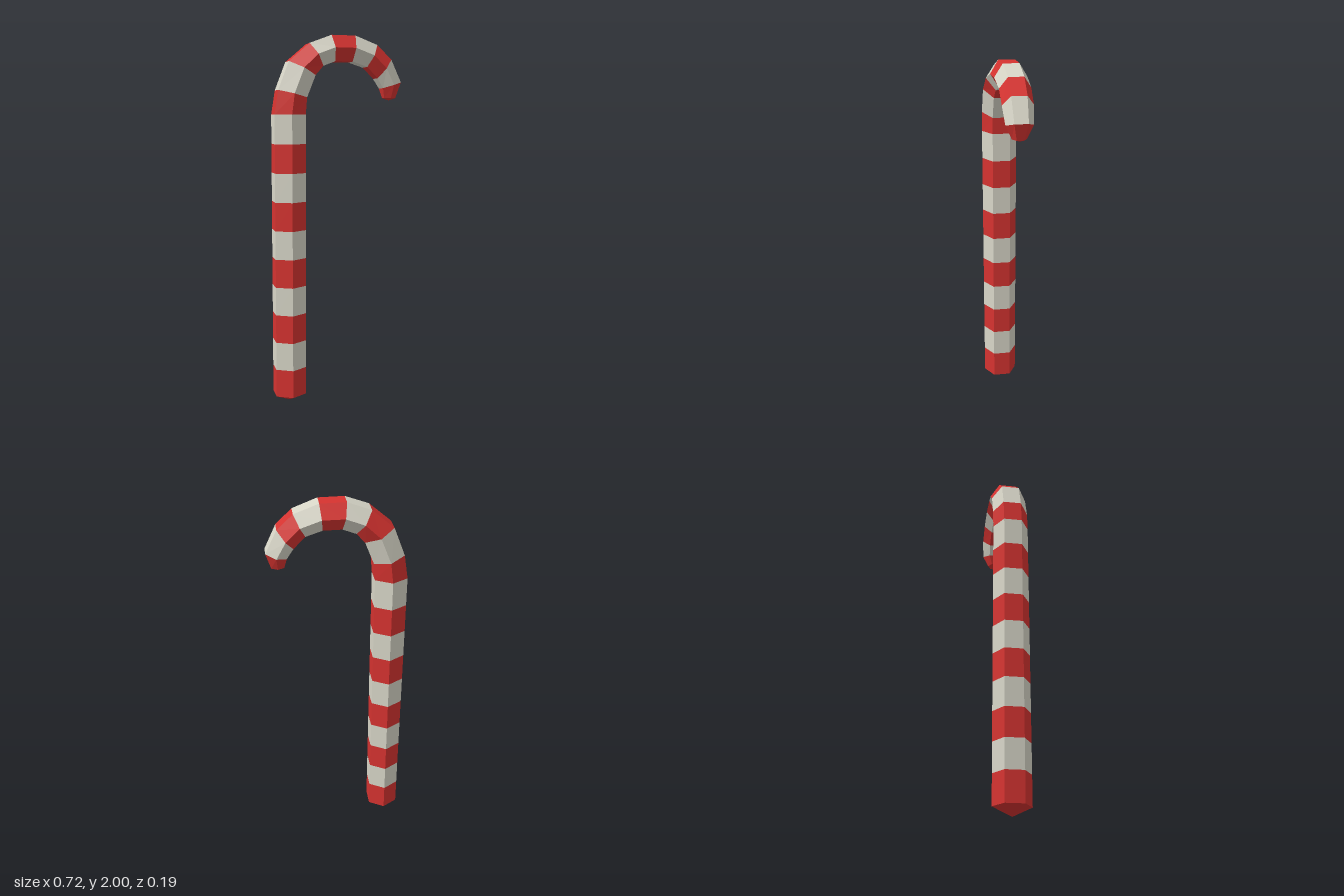
import * as THREE from 'three';

const red = new THREE.MeshStandardMaterial({ color: 0xd63330, flatShading: true });
const cream = new THREE.MeshStandardMaterial({ color: 0xd8d6c8, flatShading: true });

// Hexagonal ring: outer and inner edge of the bend (x, y), centre z and depth radius
function ring(ox, oy, ix, iy, z, r) {
  const points = [];
  for (let k = 0; k < 6; k++) {
    const a = Math.PI / 6 + (k * Math.PI) / 3;
    const t = 0.5 + (0.5 * Math.cos(a)) / Math.cos(Math.PI / 6);
    points.push([ix + (ox - ix) * t, iy + (oy - iy) * t, z + r * Math.sin(a)]);
  }
  return points;
}

const tip = (x, y, z) => ring(x, y, x, y, z, 0);

// Skin between consecutive rings, leaving out collapsed triangles at the tips
function band(name, rings, material) {
  const pos = [];
  const same = (p, q) => p.every((v, i) => Math.abs(v - q[i]) < 1e-6);
  const tri = (p, q, r) => {
    if (!same(p, q) && !same(q, r) && !same(p, r)) pos.push(...p, ...q, ...r);
  };
  for (let j = 0; j < rings.length - 1; j++) {
    const a = rings[j], b = rings[j + 1];
    for (let i = 0; i < 6; i++) {
      const n = (i + 1) % 6;
      tri(a[i], a[n], b[n]);
      tri(a[i], b[n], b[i]);
    }
  }
  const geometry = new THREE.BufferGeometry();
  geometry.setAttribute('position', new THREE.Float32BufferAttribute(pos, 3));
  geometry.computeVertexNormals();
  const mesh = new THREE.Mesh(geometry, material);
  mesh.name = name;
  return mesh;
}

export function createModel() {
  const group = new THREE.Group();
  group.name = 'candyCane';

  // Straight shaft, leaning very slightly
  const rings = [];
  for (let i = 0; i <= 10; i++) {
    const lean = 0.0008 * i, y = 0.045 + 0.154 * i;
    rings.push(ring(-0.36 + lean, y, -0.193 + lean, y, 0, 0.096));
  }
  const shaftStripes = rings.length - 1;

  // Tapering hook
  const hook = [
    [-0.331, 1.712, -0.177, 1.675, 0, 0.097],
    [-0.273, 1.86, -0.13, 1.791, 0, 0.096],
    [-0.161, 1.955, -0.087, 1.839, -0.002, 0.092],
    [-0.04, 2.0, -0.019, 1.865, -0.005, 0.085],
    [0.092, 2.0, 0.077, 1.865, -0.007, 0.083],
    [0.217, 1.955, 0.161, 1.839, -0.011, 0.079],
    [0.298, 1.88, 0.22, 1.78, -0.0125, 0.0775],
    [0.357, 1.76, 0.254, 1.728, -0.014, 0.069],
    [0.331, 1.675, 0.267, 1.675, -0.014, 0.037],
  ];
  for (const h of hook) rings.push(ring(...h));

  // Alternating stripes
  for (let i = 0; i < rings.length - 1; i++) {
    const name = i < shaftStripes ? `shaftStripe${i + 1}` : `hookStripe${i - shaftStripes + 1}`;
    group.add(band(name, [rings[i], rings[i + 1]], i % 2 ? cream : red));
  }

  // Shallow pointed ends
  group.add(band('baseCap', [tip(-0.275, 0, 0), rings[0]], red));
  group.add(band('hookCap', [rings[rings.length - 1], tip(0.298, 1.663, -0.014)], red));
  return group;
}
